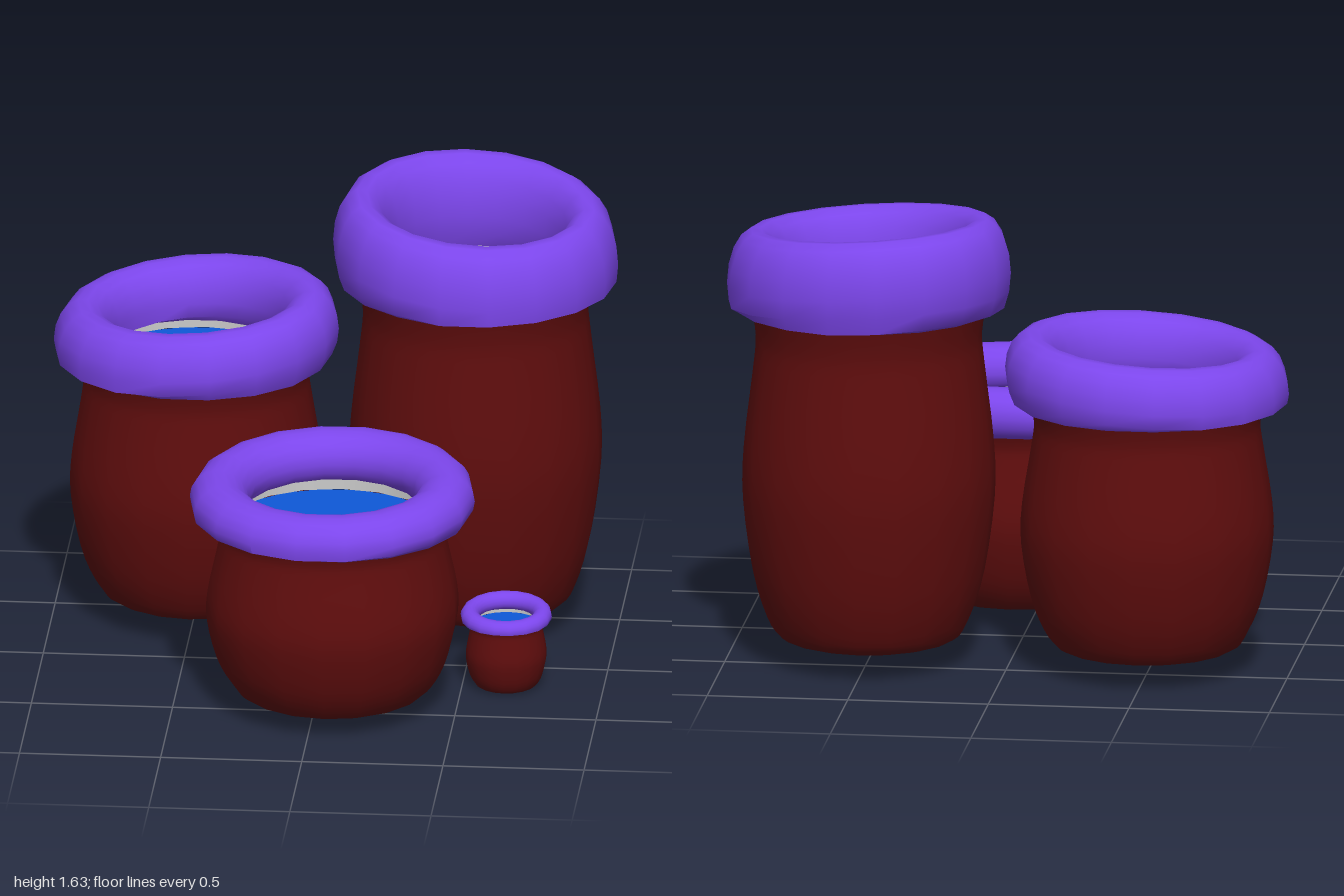
import * as THREE from 'three';
import { toCreasedNormals } from 'three/addons/utils/BufferGeometryUtils.js';

const SIDES = 18;
const clay = new THREE.MeshStandardMaterial({ color: 0x5e0d0d });
const glaze = new THREE.MeshStandardMaterial({ color: 0x7c46eb });
const water = new THREE.MeshStandardMaterial({ color: 0x0e58d8 });
const lining = new THREE.MeshStandardMaterial({ color: 0xcccccc, side: THREE.BackSide });

// Body profile: radius for a full-size pot, fraction of body height
const PROFILE = [
  [0.2, 0.005], [0.31, 0.02], [0.36, 0.075], [0.41, 0.21], [0.445, 0.42],
  [0.442, 0.58], [0.41, 0.8], [0.4, 0.9], [0.42, 1],
];

// base: foot height, seat: underside of rim, mid/half: rim centre and half height,
// tiltX/tiltZ: slope of the rim along each axis
const POTS = [
  { name: 'mediumPot', x: -0.495, z: -0.44, size: 1, base: 0.075, seat: 0.985, mid: 1.055, half: 0.147, tiltX: 0.069, tiltZ: 0 },
  { name: 'tallPot', x: 0.495, z: -0.435, size: 1, base: 0.075, seat: 1.3, mid: 1.397, half: 0.2, tiltX: -0.065, tiltZ: -0.07 },
  { name: 'shortPot', x: 0.06, z: 0.43, size: 1, base: 0.05, seat: 0.72, mid: 0.78, half: 0.097, tiltX: 0.01, tiltZ: -0.04 },
  { name: 'tinyPot', x: 0.655, z: 0.18, size: 0.32, base: 0, seat: 0.245, mid: 0.264, half: 0.032, tiltX: 0, tiltZ: -0.07 },
];

function addMesh(group, name, geometry, material) {
  const mesh = new THREE.Mesh(geometry, material);
  mesh.name = name;
  group.add(mesh);
  return mesh;
}

// Stretched ring, sheared to tilt and cut flat underneath
function rimGeometry({ size, seat, mid, half, tiltX, tiltZ }) {
  const tube = 0.103 * size;
  const geometry = new THREE.TorusGeometry(0.402 * size, tube, 18, SIDES);
  geometry.rotateX(-Math.PI / 2);
  const p = geometry.attributes.position;
  for (let i = 0; i < p.count; i++) {
    const y = mid + p.getY(i) * (half / tube) + p.getX(i) * tiltX + p.getZ(i) * tiltZ;
    p.setY(i, Math.max(y, seat));
  }
  return toCreasedNormals(geometry, 0.9);
}

function createPot(spec) {
  const { name, x, z, size, base, seat } = spec;
  const pot = new THREE.Group();
  pot.name = name;
  pot.position.set(x, 0, z);

  // Rounded body with a slightly domed foot
  const height = seat + 0.02 * size - base;
  const wall = new THREE.SplineCurve(
    PROFILE.map(([r, f]) => new THREE.Vector2(r * size, base + f * height))
  ).getPoints(24);
  addMesh(pot, 'body', new THREE.LatheGeometry([new THREE.Vector2(0, base), ...wall], SIDES), clay);

  // Thick tilted rim
  addMesh(pot, 'rim', rimGeometry(spec), glaze);

  // Liquid surface just below the rim, with the inner wall above it
  const level = seat - 0.05 * size;
  const liquid = addMesh(pot, 'liquid', new THREE.CircleGeometry(0.385 * size, SIDES), water);
  liquid.rotation.x = -Math.PI / 2;
  liquid.position.y = level;
  const inner = addMesh(pot, 'innerWall',
    new THREE.CylinderGeometry(0.385 * size, 0.385 * size, 0.07 * size, SIDES, 1, true), lining);
  inner.position.y = level + 0.035 * size;
  return pot;
}

export function createModel() {
  const model = new THREE.Group();
  model.name = 'potCluster';
  for (const spec of POTS) model.add(createPot(spec));
  return model;
}
